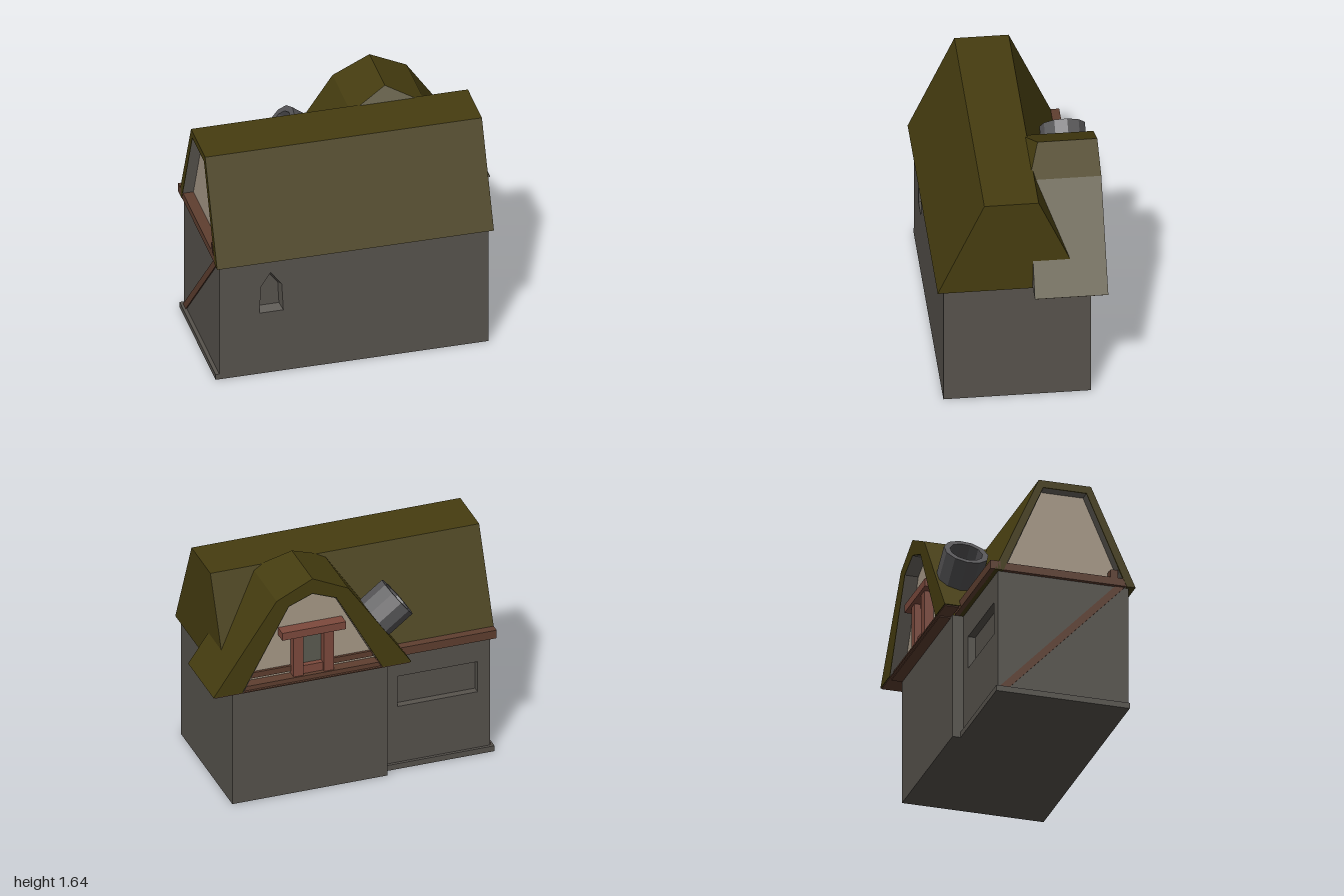
import * as THREE from 'three';

const mat = (name, color) => {
  const m = new THREE.MeshStandardMaterial({ color, side: THREE.DoubleSide, flatShading: true });
  m.name = name;
  return m;
};

export function createModel() {
  const house = new THREE.Group();
  house.name = 'cottage';
  const roofing = mat('olive thatch', 0x463d10);
  const stone = mat('grey stone', 0x57534d);
  const plaster = mat('cream plaster', 0xa89a88);
  const lining = mat('grey lining', 0x6d6861);
  const timber = mat('brown timber', 0x5f3f30);
  const redWood = mat('red brown wood', 0x7d4a3d);
  const iron = mat('chimney grey', 0x575658);
  const glass = mat('dull glass', 0x5c5c52);

  // ---- helpers ----
  const add = (name, geo, material, parent = house) => {
    const m = new THREE.Mesh(geo, material);
    m.name = name;
    parent.add(m);
    return m;
  };
  // box from its two extreme corners
  const block = (name, material, x0, x1, y0, y1, z0, z1) =>
    add(name, new THREE.BoxGeometry(x1 - x0, y1 - y0, z1 - z0)
      .translate((x0 + x1) / 2, (y0 + y1) / 2, (z0 + z1) / 2), material);
  const poly = (pts, hole) => {
    const s = new THREE.Shape(pts.map(p => new THREE.Vector2(...p)));
    if (hole) s.holes.push(new THREE.Path(hole.map(p => new THREE.Vector2(...p))));
    return s;
  };
  const prismZ = (shape, z0, z1) =>
    new THREE.ExtrudeGeometry(shape, { depth: z1 - z0, bevelEnabled: false }).translate(0, 0, z0);
  // outline given as (z, y), extruded along x
  const prismX = (shape, x0, x1) =>
    new THREE.ExtrudeGeometry(shape, { depth: x1 - x0, bevelEnabled: false }).rotateY(-Math.PI / 2).translate(x1, 0, 0);
  // flat faces, each a convex ring of points
  const faces = rings => {
    const v = [];
    for (const r of rings)
      for (let i = 1; i < r.length - 1; i++) v.push(...r[0], ...r[i], ...r[i + 1]);
    const g = new THREE.BufferGeometry();
    g.setAttribute('position', new THREE.Float32BufferAttribute(v, 3));
    g.computeVertexNormals();
    return g;
  };
  // strip of quads joining two open or closed rows of points
  const strip = (a, b, closed = false) => {
    const rings = [];
    for (let i = 0; i < a.length - (closed ? 0 : 1); i++) {
      const j = (i + 1) % a.length;
      rings.push([a[i], a[j], b[j], b[i]]);
    }
    return faces(rings);
  };

  // ---- stone walls ----
  block('wallCore', stone, -0.975, 0.835, 0, 0.87, -0.33, 0.45);
  block('backWallProjection', stone, -0.24, 0.835, 0, 0.87, -0.455, -0.33);
  const arch = [[-0.705, 0.465], [-0.545, 0.465], [-0.555, 0.665], [-0.63, 0.765], [-0.695, 0.665]];
  const pane = [[-0.692, 0.49], [-0.56, 0.49], [-0.568, 0.648], [-0.63, 0.732], [-0.684, 0.648]];
  const frontOutline = [[-0.975, 0], [0.835, 0], [0.835, 0.87], [-0.975, 0.87]];
  add('frontWall', prismZ(poly(frontOutline, arch), 0.45, 0.51), stone);
  add('frontWindowReveal', strip(arch.map(p => [...p, 0.509]), pane.map(p => [...p, 0.455]), true), stone);
  add('frontWindowPane', faces([pane.map(p => [...p, 0.455])]), stone);
  const slot = [[-0.89, 0.457], [-0.335, 0.457], [-0.335, 0.683], [-0.89, 0.683]];
  const backOutline = [[-0.975, 0], [-0.24, 0], [-0.24, 0.87], [-0.975, 0.87]];
  add('backWall', prismZ(poly(backOutline, slot), -0.38, -0.33), stone);
  block('sidePlinth', stone, -1, -0.97, 0, 0.04, -0.40, 0.51);
  block('backPlinth', stone, -1, -0.24, 0, 0.04, -0.40, -0.375);

  // ---- main roof: solid body, with an open rim at the gable end ----
  const outer = [[0.55, 0.87], [0.245, 1.55], [-0.11, 1.55], [-0.41, 0.87]];
  const inner = [[0.49, 0.87], [0.215, 1.5], [-0.08, 1.5], [-0.35, 0.87]];
  add('mainRoof', prismX(poly(outer), -0.92, 0.86), roofing);
  add('mainRoofRim', prismX(poly([...outer, ...[...inner].reverse()]), -1, -0.92), roofing);
  const shrink = (p, c) => [c + (p[0] - c) * 0.99, p[1] - 0.004];
  const soffit = inner.map(p => shrink(p, 0.0675));
  add('mainRoofSoffit', strip(soffit.map(p => [-0.998, p[1], p[0]]), soffit.map(p => [-0.92, p[1], p[0]])), lining);
  add('sideGable', prismX(poly(inner), -0.928, -0.919), plaster);

  // ---- timber along the wall tops ----
  block('backBeam', timber, -1, -0.24, 0.87, 0.93, -0.44, -0.37);
  block('sideBeam', timber, -0.998, -0.92, 0.872, 0.925, -0.40, 0.49);
  block('beamEnd', timber, -0.998, -0.92, 0.925, 0.98, 0.38, 0.43);
  const brace = poly([[-0.375, 0.04], [-0.31, 0.04], [0.48, 0.87], [0.415, 0.87]]);
  add('diagonalBrace', prismX(brace, -0.983, -0.974), timber);

  // ---- dormer ----
  const cx = 0.315;
  const profile = pts => [...pts.map(([x, y]) => [cx - x, y]), ...[...pts].reverse().slice(1).map(([x, y]) => [cx + x, y])];
  const dOuter = profile([[0.685, 0.88], [0.248, 1.52], [0, 1.64]]);
  const dInner = profile([[0.485, 0.88], [0.165, 1.465], [0, 1.53]]);
  const frontZ = [-0.07, -0.08, -0.16, -0.08, -0.07];
  const dFront = dOuter.map((p, i) => [...p, frontZ[i]]);
  add('dormerRim', prismZ(poly([...dOuter, ...[...dInner].reverse()]), -0.55, -0.45), roofing);
  add('dormerRoof', strip(dOuter.map(p => [...p, -0.45]), dFront), roofing);
  add('dormerHip', faces([[dFront[1], dFront[3], dFront[2]]]), roofing);
  add('dormerFrontWall', faces([[dFront[0], dFront[4], dFront[3], dFront[1]]]), lining);
  const dSoffit = dInner.map(p => shrink(p, cx));
  add('dormerSoffit', strip(dSoffit.map(p => [...p, -0.548]), dSoffit.map(p => [...p, -0.45])), lining);
  add('dormerGable', prismZ(poly(dInner), -0.458, -0.449), plaster);
  block('dormerBeam', timber, -0.20, 0.83, 0.865, 0.91, -0.53, -0.44);
  block('dormerRail', timber, -0.13, 0.76, 0.93, 0.97, -0.475, -0.45);
  block('dormerEaveBoard', timber, 0.83, 0.99, 0.872, 0.881, -0.545, -0.075);
  block('dormerBackBoard', timber, -0.36, 0.83, 0.872, 0.879, -0.545, -0.45);

  // ---- dormer window ----
  for (const side of [-1, 1]) {
    const x = 0.295 + side * 0.105;
    block('windowPost', redWood, x - 0.035, x + 0.035, 0.89, 1.21, -0.52, -0.45);
  }
  block('windowLintel', redWood, 0.08, 0.52, 1.21, 1.265, -0.54, -0.45);
  block('windowSill', redWood, 0.22, 0.37, 0.90, 0.97, -0.5, -0.45);
  block('windowHead', redWood, 0.22, 0.37, 1.18, 1.21, -0.48, -0.45);
  block('windowPane', glass, 0.22, 0.37, 0.97, 1.18, -0.464, -0.457);

  // ---- chimney pipe standing square to the dormer slope ----
  const pipe = new THREE.LatheGeometry(
    [[0, -0.13], [0.11, -0.13], [0.11, 0], [0.15, 0], [0.15, -0.27], [0, -0.27]]
      .reverse().map(p => new THREE.Vector2(...p)), 11).toNonIndexed();
  pipe.computeVertexNormals();
  const chimney = add('chimney', pipe, iron);
  chimney.position.set(-0.33, 1.29, -0.39);
  chimney.quaternion.setFromUnitVectors(new THREE.Vector3(0, 1, 0), new THREE.Vector3(-0.79, 0.61, 0).normalize());

  return house;
}
